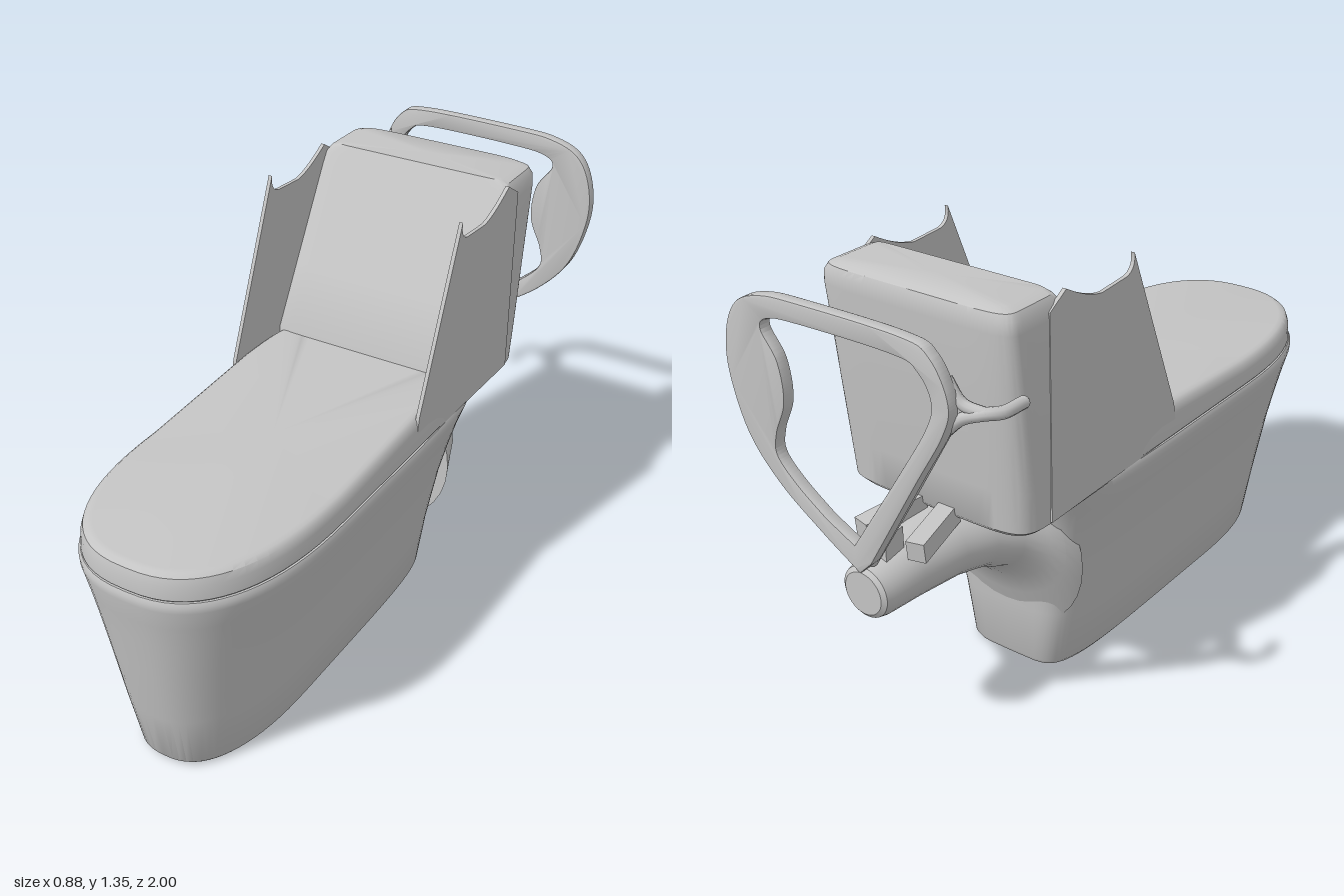
import * as THREE from 'three';
import { toCreasedNormals } from 'three/addons/utils/BufferGeometryUtils.js';

const N = 72;
const V = (x, y, z) => new THREE.Vector3(x, y, z);
const spow = (v, n) => Math.sign(v) * Math.pow(Math.abs(v), 2 / n);

// Skin a stack of closed rings and close both ends.
function loft(rings, crease = 0.6) {
  const n = rings[0].length, pos = [], idx = [];
  rings.forEach(r => r.forEach(p => pos.push(p.x, p.y, p.z)));
  for (let i = 0; i < rings.length - 1; i++) {
    for (let j = 0; j < n; j++) {
      const k = (j + 1) % n, a = i * n, b = a + n;
      idx.push(a + j, b + j, a + k, a + k, b + j, b + k);
    }
  }
  [0, rings.length - 1].forEach((ri, end) => {
    const c = rings[ri].reduce((s, p) => s.add(p), V(0, 0, 0)).divideScalar(n);
    const ci = pos.length / 3;
    pos.push(c.x, c.y, c.z);
    for (let j = 0; j < n; j++) {
      const a = ri * n + j, b = ri * n + (j + 1) % n;
      if (end) idx.push(ci, b, a); else idx.push(ci, a, b);
    }
  });
  const g = new THREE.BufferGeometry();
  g.setAttribute('position', new THREE.Float32BufferAttribute(pos, 3));
  g.setIndex(idx);
  return toCreasedNormals(g, crease);
}

// Horizontal outline with separate roundness for its front and back halves.
function outline(y, hw, front, back, mid, nf, nb, lift = () => 0) {
  return Array.from({ length: N }, (_, j) => {
    const a = (j / N) * Math.PI * 2, s = Math.sin(a), n = s > 0 ? nf : nb;
    const z = mid + spow(s, n) * (s > 0 ? front - mid : mid - back);
    return V(hw * spow(Math.cos(a), n), y + lift(z), z);
  });
}

export function createModel() {
  const model = new THREE.Group();
  const mat = new THREE.MeshStandardMaterial({ color: 0xc4c4c4, side: THREE.DoubleSide });
  mat.name = 'light grey';
  const add = (name, geo, x = 0) => {
    const m = new THREE.Mesh(geo, mat);
    m.name = name;
    m.position.x = x;
    model.add(m);
    return m;
  };
  const CX = 0.008;

  // Tapered pedestal bowl: y, half width, front z, back z
  add('bowl', loft([
    [0, 0.195, 0.87, -0.38], [0.015, 0.207, 0.885, -0.388], [0.2, 0.235, 0.922, -0.398],
    [0.4, 0.272, 0.955, -0.42], [0.52, 0.301, 0.973, -0.44], [0.6, 0.322, 0.986, -0.46],
    [0.665, 0.341, 0.998, -0.49], [0.685, 0.343, 0.999, -0.5], [0.697, 0.337, 0.993, -0.5],
  ].map(([y, w, f, b]) => outline(y, w, f, b, 0.42, 2.5, 6))), CX);

  // Closed lid, rising slightly toward the backrest
  const rise = z => 0.028 * THREE.MathUtils.smoothstep(0.4 - z, 0, 0.45);
  add('lid', loft([
    [0.69, 0.325, 0.98], [0.703, 0.335, 0.992], [0.745, 0.331, 0.99],
    [0.768, 0.324, 0.983], [0.778, 0.312, 0.97], [0.78, 0.298, 0.955],
  ].map(([y, w, f]) => outline(y, w, f, -0.3, 0.42, 2.5, 12, y > 0.74 ? rise : undefined))), CX);

  // Tank with a sloping front face
  const slope = y => -0.24 - Math.max(0, y - 0.81) * 0.585;
  add('tank', loft([
    [0.67, 0.31, -0.7], [0.685, 0.326, -0.712], [0.81, 0.33, -0.723], [1.0, 0.33, -0.738],
    [1.28, 0.33, -0.758], [1.315, 0.325, -0.758], [1.335, 0.312, -0.75], [1.345, 0.285, -0.735],
  ].map(([y, w, b]) => {
    const f = slope(y);
    return outline(y, w, f, b, (f + b) / 2, 18, 7);
  })), CX);

  // Thin side panels with a scooped upper edge; shape x is -z
  const panel = new THREE.Shape();
  panel.moveTo(-0.02, 0.7);
  panel.lineTo(0, 0.805);
  panel.lineTo(0.222, 1.345);
  panel.quadraticCurveTo(0.215, 1.295, 0.26, 1.287);
  panel.lineTo(0.37, 1.28);
  panel.quadraticCurveTo(0.43, 1.285, 0.53, 1.343);
  panel.lineTo(0.6, 1.3);
  panel.lineTo(0.6, 0.69);
  panel.closePath();
  const panelGeo = new THREE.ExtrudeGeometry(panel, { depth: 0.012, bevelEnabled: false });
  panelGeo.rotateY(Math.PI / 2);
  add('leftSidePanel', panelGeo, CX + 0.32);
  add('rightSidePanel', panelGeo, CX - 0.332);

  // Outlet neck flaring out of the back of the bowl: z, low y, high y, half width
  add('outletNeck', loft([
    [-0.36, 0.12, 0.66, 0.26], [-0.42, 0.26, 0.665, 0.245], [-0.455, 0.335, 0.665, 0.215],
    [-0.52, 0.4, 0.665, 0.175], [-0.6, 0.437, 0.665, 0.145], [-0.7, 0.455, 0.665, 0.118],
    [-0.85, 0.462, 0.65, 0.095], [-0.96, 0.466, 0.632, 0.083], [-0.985, 0.472, 0.626, 0.077],
    [-0.995, 0.485, 0.613, 0.064],
  ].map(([z, lo, hi, w]) => Array.from({ length: 32 }, (_, j) => {
    const a = (j / 32) * Math.PI * 2;
    return V(w * Math.cos(a), (lo + hi) / 2 + (hi - lo) / 2 * Math.sin(a), z);
  }))), CX);

  // Two braces from the tank to the neck
  for (const s of [-1, 1]) {
    const brace = add(s > 0 ? 'leftBrace' : 'rightBrace',
      new THREE.BoxGeometry(0.055, 0.06, 0.2), CX + s * 0.075);
    brace.position.set(CX + s * 0.075, 0.667, -0.79);
    brace.rotation.set(-0.1, -s * 0.22, 0);
  }
  add('neckStud', new THREE.BoxGeometry(0.07, 0.09, 0.07), CX).position.set(CX, 0.66, -0.9);

  // Flat looped handle with one broad side
  const vec = pts => pts.map(([x, y]) => new THREE.Vector2(x, y));
  const handle = new THREE.Shape();
  handle.moveTo(0.01, 0.62);
  handle.splineThru(vec([[0.14, 0.7], [0.28, 0.8], [0.38, 0.92], [0.43, 1.08], [0.425, 1.2],
    [0.38, 1.29], [0.29, 1.33], [0.15, 1.34], [-0.18, 1.34], [-0.27, 1.31], [-0.32, 1.21],
    [-0.3, 1.12], [-0.2, 0.95], [-0.03, 0.66]]));
  handle.closePath();
  const hole = new THREE.Path();
  hole.moveTo(0.02, 0.69);
  hole.splineThru(vec([[-0.15, 0.95], [-0.255, 1.12], [-0.275, 1.2], [-0.235, 1.27], [-0.16, 1.295],
    [0.15, 1.293], [0.27, 1.28], [0.3, 1.24], [0.25, 1.16], [0.24, 1.05], [0.28, 0.95],
    [0.285, 0.88], [0.22, 0.81], [0.12, 0.74]]));
  hole.closePath();
  handle.holes.push(hole);
  const handleGeo = new THREE.ExtrudeGeometry(handle, {
    depth: 0.028, bevelThickness: 0.005, bevelSize: 0.005, bevelSegments: 2, curveSegments: 48,
  });
  handleGeo.translate(0, 0, -0.995);
  add('handle', toCreasedNormals(handleGeo, 0.6));

  // Rounded limb and hooked thumb rest on the handle
  const tube = (name, pts, r) => {
    const path = new THREE.CatmullRomCurve3(pts.map(p => V(...p)));
    add(name, new THREE.TubeGeometry(path, 24, r, 10));
    const tip = add(name + 'Tip', new THREE.SphereGeometry(r, 12, 8));
    tip.position.set(...pts[pts.length - 1]);
  };
  tube('handleLimb', [[0.0, 0.64, -0.965], [-0.17, 0.93, -0.958], [-0.29, 1.14, -0.952]], 0.02);
  tube('thumbRest', [[-0.27, 1.1, -0.955], [-0.33, 1.155, -0.955], [-0.385, 1.178, -0.945],
    [-0.416, 1.178, -0.91], [-0.419, 1.175, -0.835]], 0.017);
  tube('thumbRestRoot', [[-0.29, 1.25, -0.96], [-0.33, 1.195, -0.955], [-0.39, 1.18, -0.942]], 0.016);

  return model;
}
